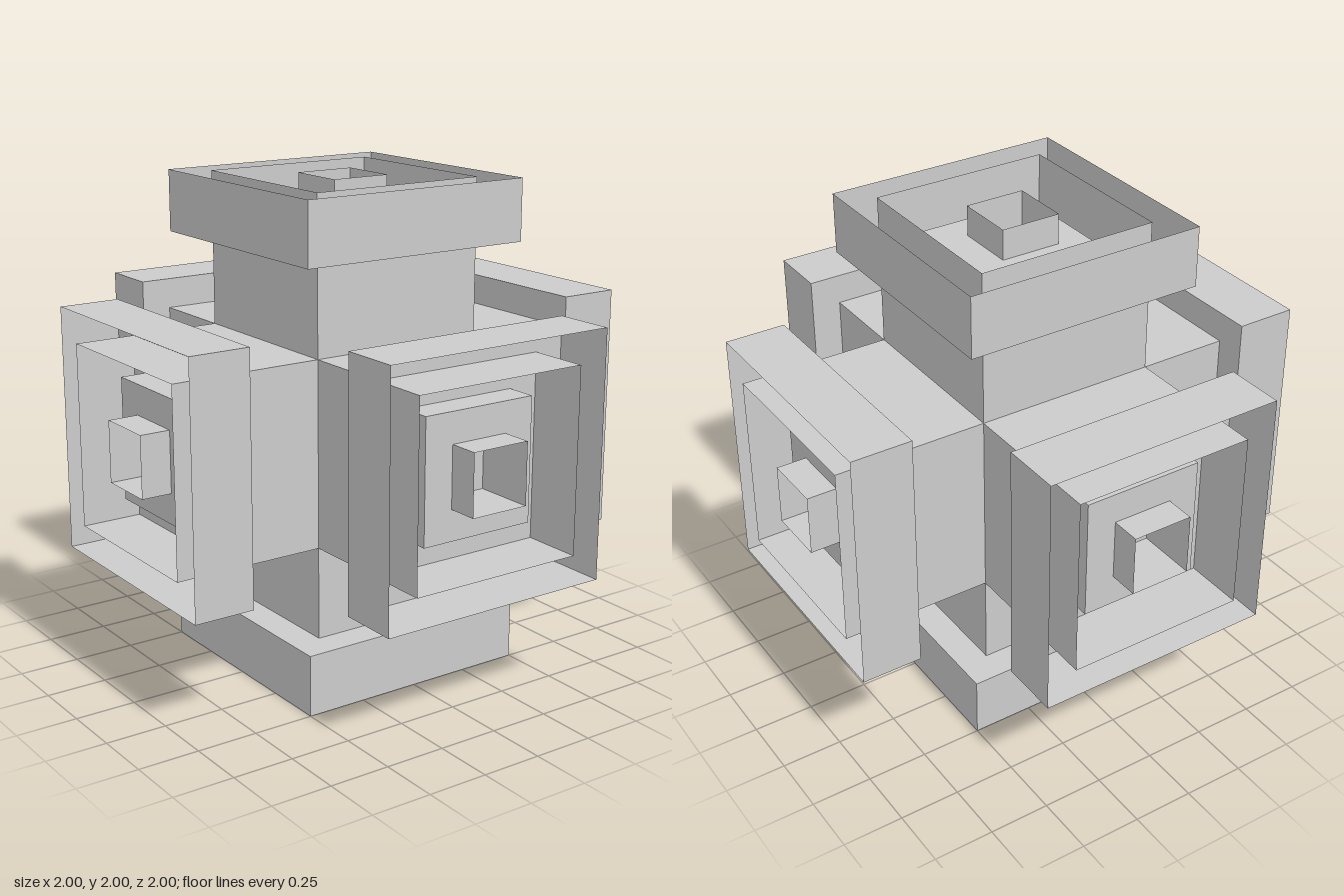
import * as THREE from 'three';
import { mergeGeometries } from 'three/addons/utils/BufferGeometryUtils.js';

// Thin sheet walls, visible from both sides
const sheet = new THREE.MeshStandardMaterial({ color: 0xcccccc, flatShading: true, side: THREE.DoubleSide });

function part(name, geometry) {
  const mesh = new THREE.Mesh(geometry, sheet);
  mesh.name = name;
  return mesh;
}

// Four upright walls around a square, open at both ends
function walls(name, half, y0, y1) {
  const sides = [0, 1, 2, 3].map(k =>
    new THREE.PlaneGeometry(half * 2, y1 - y0)
      .translate(0, (y0 + y1) / 2, half)
      .rotateY(k * Math.PI / 2));
  return part(name, mergeGeometries(sides));
}

function square(Type, h) {
  const s = new Type();
  s.moveTo(-h, -h).lineTo(h, -h).lineTo(h, h).lineTo(-h, h).closePath();
  return s;
}

// Flat square facing outward (+y), with an optional square hole
function plate(name, half, y, hole = 0) {
  const shape = square(THREE.Shape, half);
  if (hole) shape.holes.push(square(THREE.Path, hole));
  return part(name, new THREE.ShapeGeometry(shape).rotateX(-Math.PI / 2).translate(0, y, 0));
}

// One arm along +y, measured from the centre of the model
function createArm() {
  const arm = new THREE.Group();
  arm.add(
    walls('neck', 0.375, 0.375, 0.75),
    plate('flangeFloor', 0.5, 0.75),
    walls('outerRim', 0.5, 0.75, 1),
    walls('innerRim', 0.375, 0.75, 1),
    walls('stepSides', 0.25, 0.75, 0.875),
    plate('stepTop', 0.25, 0.875, 0.125),
    walls('socket', 0.125, 0.75, 1),
  );
  return arm;
}

export function createModel() {
  const model = new THREE.Group();
  model.name = 'sixArmedConnector';
  const q = Math.PI / 2;
  const arms = {
    topArm: [0, 0], bottomArm: [Math.PI, 0],
    frontArm: [q, 0], backArm: [-q, 0],
    leftArm: [0, -q], rightArm: [0, q],
  };
  for (const [name, [rx, rz]] of Object.entries(arms)) {
    const arm = createArm();
    arm.name = name;
    arm.rotation.set(rx, 0, rz);
    arm.position.y = 1;
    model.add(arm);
  }
  return model;
}
